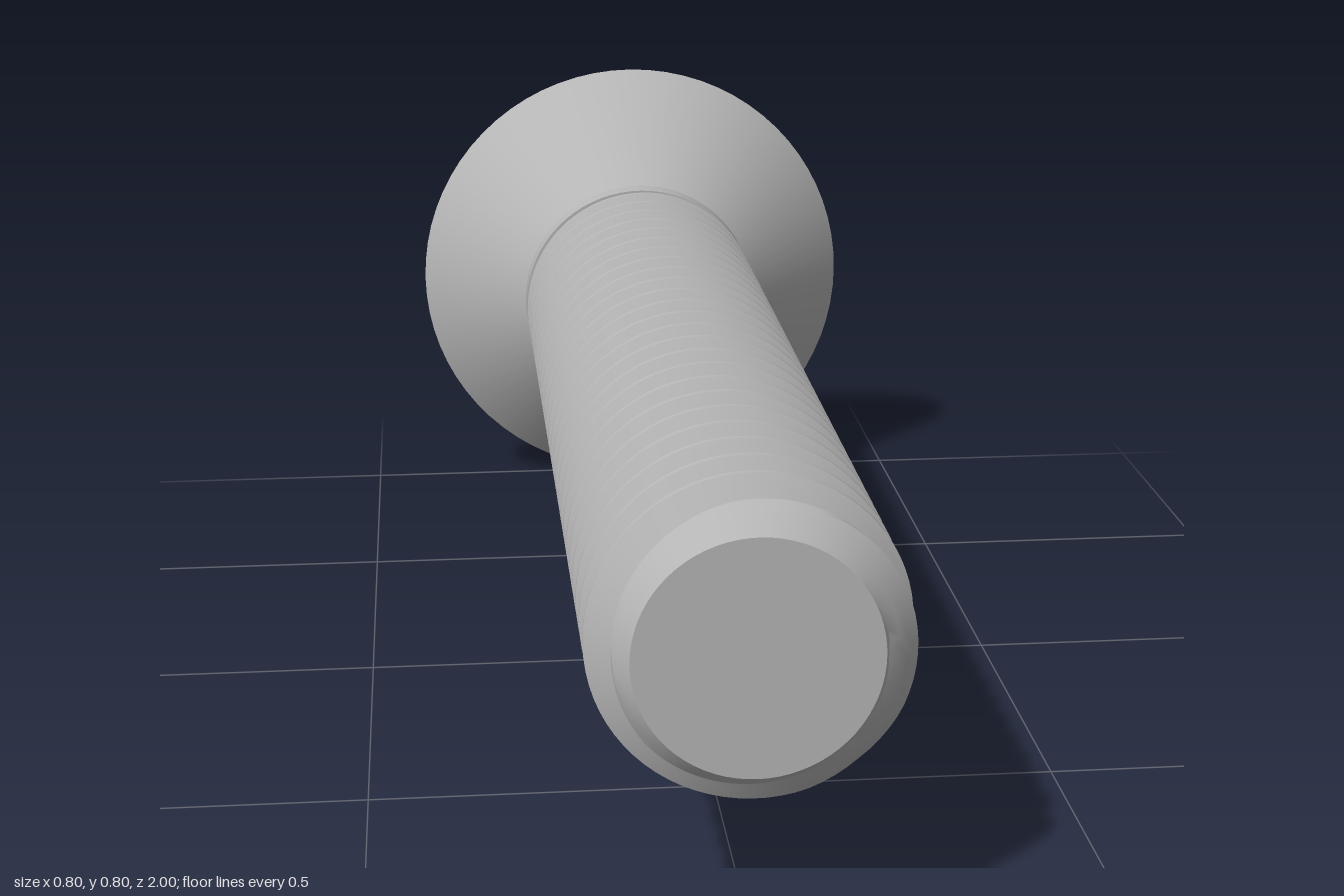
import * as THREE from 'three';
import { toCreasedNormals } from 'three/addons/utils/BufferGeometryUtils.js';

const HEAD_R = 0.4, SHANK_R = 0.213, ROOT_R = 0.165, TIP_R = 0.16;
const PITCH = 0.0718, CREST_Z = 0.885, THREAD_START = -0.77;
const SEGMENTS = 72;

// Skin a grid of points (rows of Vector3), dropping collapsed triangles
function skin(rows, crease) {
  const pos = [];
  const tri = (a, b, c) => {
    const n = b.clone().sub(a).cross(c.clone().sub(a));
    if (n.length() > 1e-9) for (const p of [a, b, c]) pos.push(p.x, p.y, p.z);
  };
  for (let r = 0; r < rows.length - 1; r++) {
    for (let c = 0; c < rows[r].length - 1; c++) {
      const A = rows[r][c], B = rows[r][c + 1], C = rows[r + 1][c + 1], D = rows[r + 1][c];
      tri(A, B, C);
      tri(A, C, D);
    }
  }
  const geo = new THREE.BufferGeometry();
  geo.setAttribute('position', new THREE.Float32BufferAttribute(pos, 3));
  geo.computeVertexNormals();
  return toCreasedNormals(geo, crease);
}

// Right-handed V thread with narrow flats, cut by a 45 degree chamfer at the tip
function threadGeometry() {
  const crestHalf = 0.0045, rootHalf = PITCH / 2 - 0.005;
  const radius = (z, theta) => {
    const t = (z - CREST_Z) / PITCH - theta / (2 * Math.PI);
    const d = Math.abs(t - Math.round(t)) * PITCH;
    const k = THREE.MathUtils.clamp((d - crestHalf) / (rootHalf - crestHalf), 0, 1);
    return Math.min(THREE.MathUtils.lerp(SHANK_R, ROOT_R, k), TIP_R + 1 - z);
  };
  // break points within one turn: crest flat, falling flank, root flat, rising flank
  const offsets = [-crestHalf];
  for (let i = 0; i <= 3; i++) offsets.push(THREE.MathUtils.lerp(crestHalf, rootHalf, i / 3));
  for (let i = 0; i < 3; i++) offsets.push(PITCH - THREE.MathUtils.lerp(rootHalf, crestHalf, i / 3));
  const rows = [];
  for (let k = -26; k <= 3; k++) {
    for (const off of offsets) {
      const row = [];
      for (let i = 0; i <= SEGMENTS; i++) {
        const theta = (i / SEGMENTS) * Math.PI * 2;
        const z = THREE.MathUtils.clamp(
          CREST_Z + PITCH * (k + i / SEGMENTS) + off, THREAD_START, 1);
        const r = radius(z, theta);
        row.push(new THREE.Vector3(r * Math.cos(theta), r * Math.sin(theta), z));
      }
      rows.push(row);
    }
  }
  return skin(rows, 0.6);
}

// Cross outline: arm length, half width, and where the inner corner is cut off
function crossOutline(length, half, corner) {
  const pts = [];
  for (let i = 0; i < 4; i++) {
    const a = Math.PI / 6 + (i * Math.PI) / 2;
    for (const [x, y] of [[corner, -half], [length, -half], [length + 0.006, 0], [length, half], [corner, half]]) {
      pts.push(new THREE.Vector2(x, y).rotateAround(new THREE.Vector2(), a));
    }
  }
  return pts;
}

export function createModel() {
  const steel = new THREE.MeshStandardMaterial({ color: 0xb8b8b8 });
  steel.name = 'steel';
  const model = new THREE.Group();
  model.name = 'screw';
  const add = (parent, name, geo) => {
    const mesh = new THREE.Mesh(geo, steel);
    mesh.name = name;
    parent.add(mesh);
    return mesh;
  };

  // Everything lies along z, raised so the head rim rests on the ground
  const body = new THREE.Group();
  body.name = 'body';
  body.position.y = HEAD_R;
  model.add(body);

  // Countersunk cone, plain neck and the shoulder where the thread begins
  const profile = [[HEAD_R, -1], [SHANK_R, -0.815], [SHANK_R, THREAD_START], [0.15, THREAD_START]]
    .map(([r, z]) => new THREE.Vector2(r, z));
  const cone = new THREE.LatheGeometry(profile, SEGMENTS).rotateX(Math.PI / 2);
  add(body, 'headAndNeck', toCreasedNormals(cone, 0.5));

  // Threaded shank and flat tip
  add(body, 'thread', threadGeometry());
  add(body, 'tip', new THREE.CircleGeometry(TIP_R, SEGMENTS)).position.z = 1;

  // Drive side, modelled facing +z and then turned to the back
  const drive = new THREE.Group();
  drive.name = 'drive';
  drive.position.z = -1;
  drive.rotation.x = Math.PI;
  body.add(drive);

  const opening = crossOutline(0.262, 0.046, 0.1);
  const face = new THREE.Shape().absarc(0, 0, HEAD_R, 0, Math.PI * 2);
  face.holes.push(new THREE.Path([...opening].reverse()));
  add(drive, 'headFace', new THREE.ShapeGeometry(face, SEGMENTS / 2));

  // Cross recess: tapering sections closing to a shallow point
  const sections = [
    [opening, 0],
    [crossOutline(0.13, 0.034, 0.06), -0.18],
    [opening.map(() => new THREE.Vector2()), -0.22],
  ];
  const rings = sections.map(([pts, z]) =>
    [...pts, pts[0]].map((p) => new THREE.Vector3(p.x, p.y, z)));
  add(drive, 'crossRecess', skin(rings, 0.3));

  return model;
}
